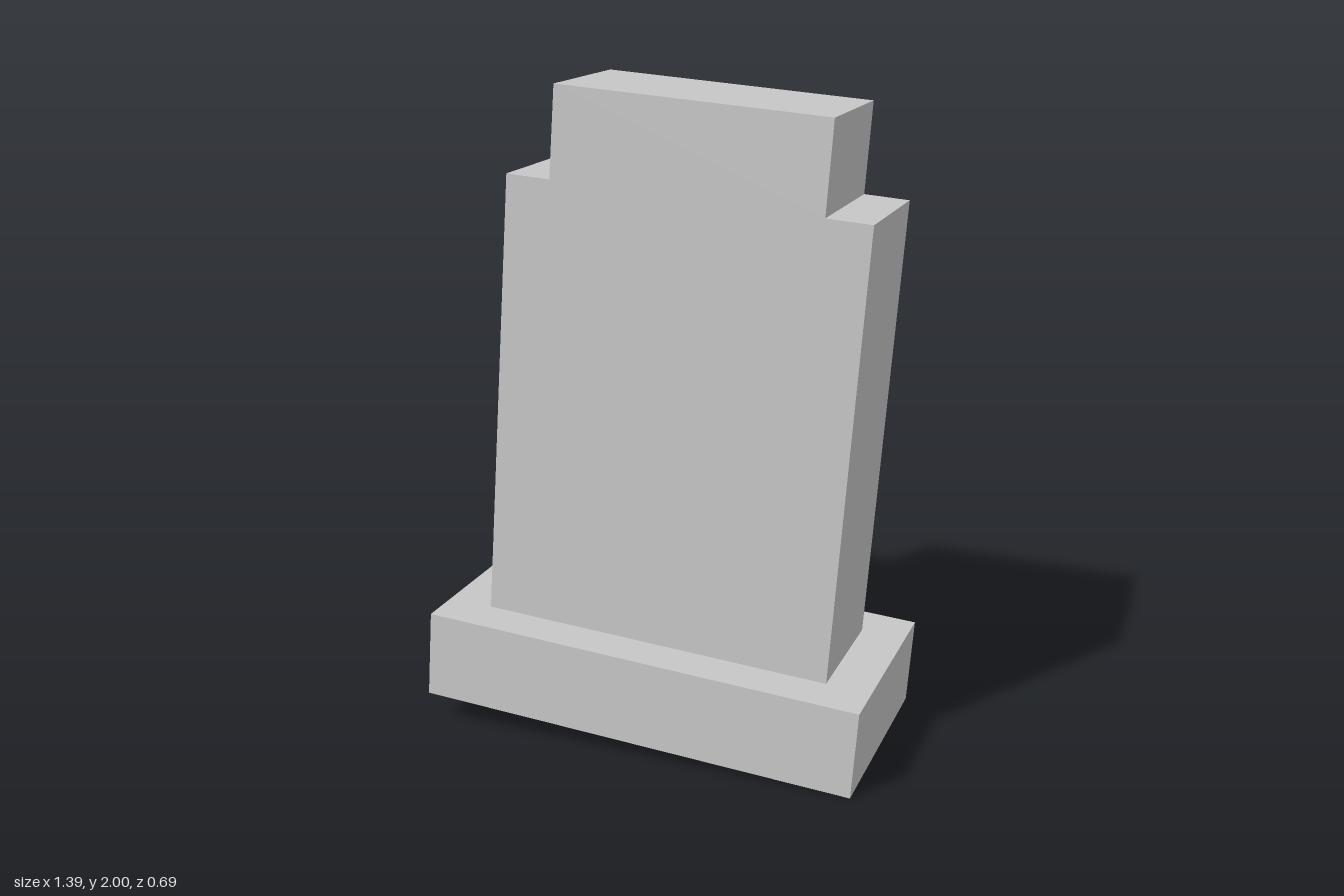
import * as THREE from 'three';

export function createModel() {
  const model = new THREE.Group();
  model.name = 'gravestone';
  const stone = new THREE.MeshStandardMaterial({ color: 0xc7c7c7 });
  stone.name = 'light grey stone';

  // Everything leans together, pivoting about the centre of the plinth's underside
  const leaning = new THREE.Group();
  leaning.name = 'leaningStone';
  leaning.position.set(-0.011, 0.049, 0);
  leaning.rotation.z = -0.0706;
  model.add(leaning);

  const add = (name, geometry) => {
    const mesh = new THREE.Mesh(geometry, stone);
    mesh.name = name;
    leaning.add(mesh);
  };

  // Plinth
  const plinthHeight = 0.273;
  add('plinth', new THREE.BoxGeometry(1.377, plinthHeight, 0.688).translate(0, plinthHeight / 2, 0));

  // Upright slab with stepped shoulders
  const half = [[0.55, plinthHeight], [0.55, 1.652], [0.413, 1.652], [0.413, 1.926]];
  const outline = [...half, ...half.map(([x, y]) => [-x, y]).reverse()];
  const shape = new THREE.Shape(outline.map(([x, y]) => new THREE.Vector2(x, y)));
  const depth = 0.412;
  add('slab', new THREE.ExtrudeGeometry(shape, { depth, bevelEnabled: false }).translate(0, 0, -depth / 2));

  return model;
}
